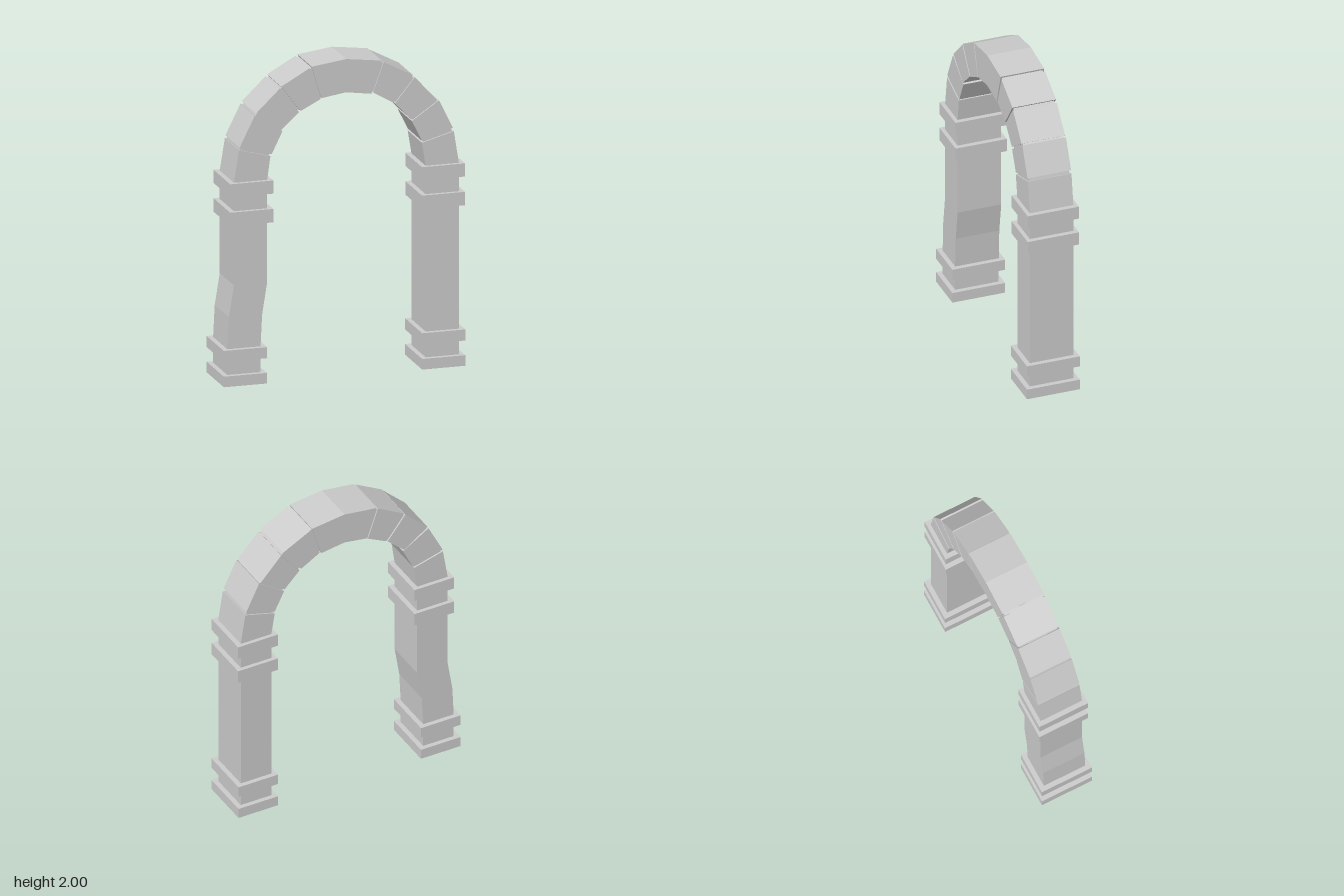
import * as THREE from 'three';

const DEPTH = 0.284;

export function createModel() {
  const group = new THREE.Group();
  group.name = 'stoneArch';
  const material = new THREE.MeshStandardMaterial({ color: 0xcccccc, flatShading: true });

  // Front outline given a thickness, centred on z = 0
  const slab = (name, points, depth = DEPTH) => {
    const shape = new THREE.Shape(points.map(([x, y]) => new THREE.Vector2(x, y)));
    const geometry = new THREE.ExtrudeGeometry(shape, { depth, bevelEnabled: false });
    geometry.translate(0, 0, -depth / 2);
    const mesh = new THREE.Mesh(geometry, material);
    mesh.name = name;
    group.add(mesh);
  };

  // Square collar around a pillar
  const collar = (name, x, y0, y1, depth) => {
    const mesh = new THREE.Mesh(new THREE.BoxGeometry(0.275, y1 - y0, depth), material);
    mesh.position.set(x, (y0 + y1) / 2, 0);
    mesh.name = name;
    group.add(mesh);
  };

  // Pillars: centre line of each shaft as [x, y]; the right one is bent
  const half = 0.106;
  const pillars = {
    left: [[0.632, 0.03], [0.632, 1.28]],
    right: [[-0.634, 0.03], [-0.634, 0.23], [-0.624, 0.43], [-0.592, 0.63], [-0.592, 1.28]],
  };
  for (const [side, line] of Object.entries(pillars)) {
    slab(`${side}Shaft`, [
      ...line.map(([x, y]) => [x + half, y]),
      ...line.map(([x, y]) => [x - half, y]).reverse(),
    ]);
    const bottomX = line[0][0], topX = line[line.length - 1][0];
    collar(`${side}Plinth`, bottomX, 0, 0.067, 0.344);
    collar(`${side}BaseCollar`, bottomX, 0.16, 0.23, 0.344);
    collar(`${side}LowerCapital`, topX, 1.015, 1.1, 0.334);
    collar(`${side}UpperCapital`, topX, 1.197, 1.28, 0.334);
  }

  // Arch stones from -x to +x: inner edge points, then outer edge points
  const stones = [
    { inner: [[-0.486, 1.28], [-0.465, 1.428]], outer: [[-0.698, 1.28], [-0.665, 1.483]] },
    { inner: [[-0.457, 1.439], [-0.388, 1.58]], outer: [[-0.662, 1.499], [-0.565, 1.692]] },
    { inner: [[-0.396, 1.588], [-0.282, 1.692]], outer: [[-0.557, 1.706], [-0.405, 1.851]] },
    { inner: [[-0.272, 1.697], [-0.145, 1.761]], outer: [[-0.396, 1.862], [-0.215, 1.963]] },
    { inner: [[-0.14, 1.766], [0.018, 1.79], [0.179, 1.766]], outer: [[-0.201, 1.971], [0.018, 2], [0.243, 1.971]] },
    { inner: [[0.191, 1.772], [0.32, 1.697]], outer: [[0.259, 1.96], [0.444, 1.862]] },
    { inner: [[0.33, 1.69], [0.434, 1.583]], outer: [[0.457, 1.846], [0.598, 1.692]] },
    { inner: [[0.438, 1.57], [0.502, 1.44]], outer: [[0.611, 1.687], [0.7, 1.504]] },
    { inner: [[0.502, 1.427], [0.526, 1.28]], outer: [[0.706, 1.483], [0.738, 1.28]] },
  ];
  stones.forEach(({ inner, outer }, i) => {
    slab(i === 4 ? 'keystone' : `archStone${i + 1}`, [...inner, ...[...outer].reverse()]);
  });

  // Recessed mortar in the joints between stones
  const mix = (a, b, t) => [a[0] + (b[0] - a[0]) * t, a[1] + (b[1] - a[1]) * t];
  for (let i = 0; i < stones.length - 1; i++) {
    const a = stones[i], b = stones[i + 1];
    const [ai, ao] = [a.inner.at(-1), a.outer.at(-1)];
    const [bi, bo] = [b.inner[0], b.outer[0]];
    slab(`mortar${i + 1}`, [mix(ai, ao, 0.05), mix(bi, bo, 0.05), mix(bi, bo, 0.95), mix(ai, ao, 0.95)], DEPTH - 0.02);
  }

  return group;
}
